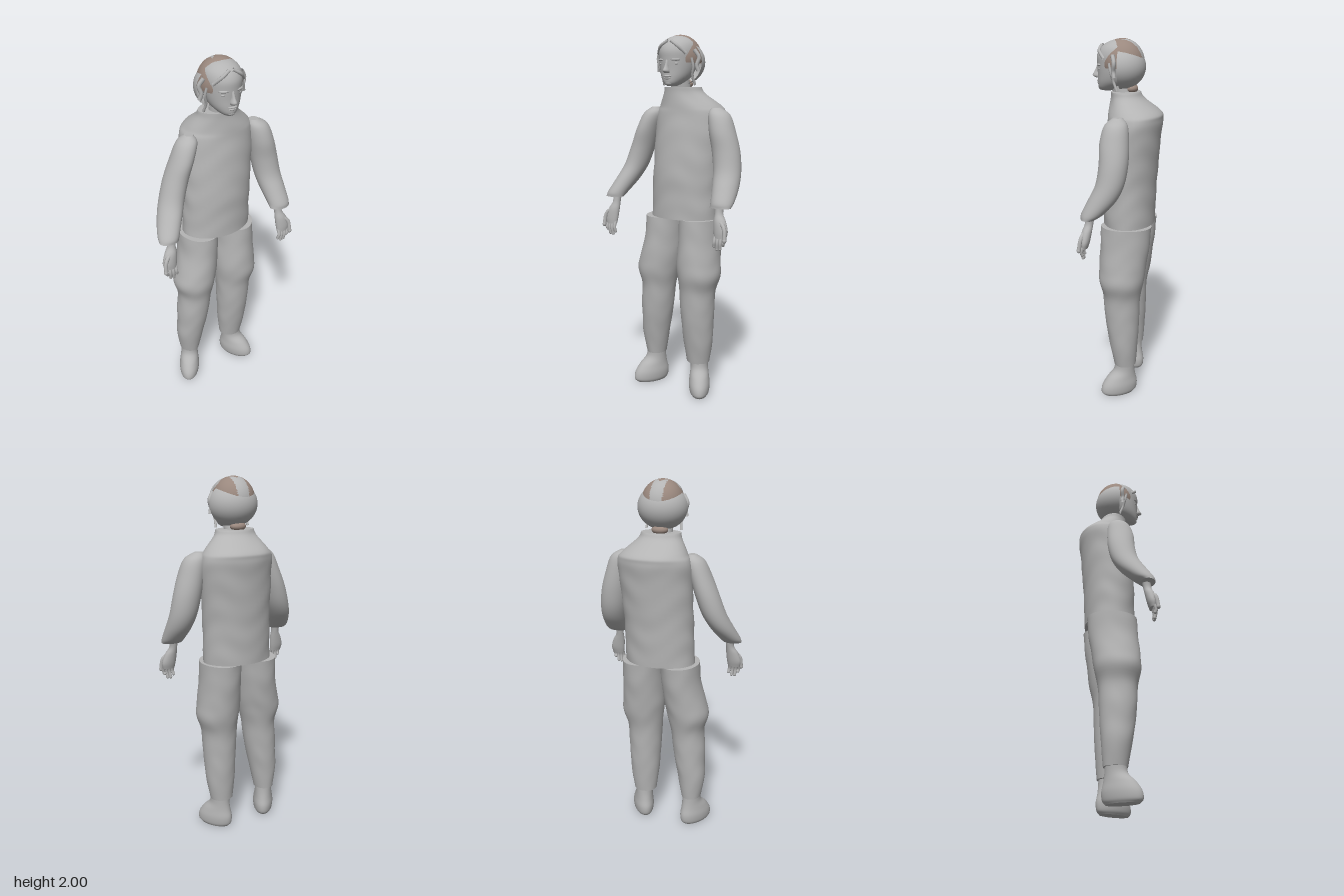
import * as THREE from 'three';

const mat = (name, color) => {
  const m = new THREE.MeshStandardMaterial({ color, side: THREE.DoubleSide });
  m.name = name;
  return m;
};

// Smooth body lofted through ellipses [y, cx, cz, rx, rz], listed from top to bottom
function loft(rows, ripple = 0, steps = 5, seg = 40) {
  const spline = (f) => new THREE.CatmullRomCurve3(rows.map(f), false, 'catmullrom', 0.5);
  const centre = spline((r) => new THREE.Vector3(r[1], r[0], r[2]));
  const radius = spline((r) => new THREE.Vector3(r[3], r[4], 0));
  const n = (rows.length - 1) * steps;
  const pos = [], idx = [];
  for (let i = 0; i <= n; i++) {
    const c = centre.getPoint(i / n), r = radius.getPoint(i / n);
    for (let j = 0; j < seg; j++) {
      const a = (j / seg) * Math.PI * 2;
      const k = 1 + ripple * Math.sin(c.y * 38 + 2 * Math.sin(a * 3)) * Math.sin(a * 2 + c.y * 9);
      pos.push(c.x + Math.cos(a) * r.x * k, c.y, c.z + Math.sin(a) * r.y * k);
      if (i === n) continue;
      const p = i * seg + j, q = i * seg + (j + 1) % seg;
      idx.push(p, q, p + seg, q, q + seg, p + seg);
    }
  }
  // Flat end caps with their own vertices, so the rims stay sharp
  for (const [row, top] of [[0, true], [n, false]]) {
    const c = centre.getPoint(row / n), base = pos.length / 3;
    pos.push(c.x, c.y, c.z);
    for (let j = 0; j < seg; j++) {
      const s = (row * seg + j) * 3;
      pos.push(pos[s], pos[s + 1], pos[s + 2]);
      const p = base + 1 + j, q = base + 1 + (j + 1) % seg;
      idx.push(base, top ? q : p, top ? p : q);
    }
  }
  const g = new THREE.BufferGeometry();
  g.setAttribute('position', new THREE.Float32BufferAttribute(pos, 3));
  g.setIndex(idx);
  g.computeVertexNormals();
  return g;
}

export function createModel() {
  const model = new THREE.Group();
  const grey = mat('plain grey', 0xb4b4b4), brown = mat('hair brown', 0x9a887e);
  const add = (name, geo, material = grey, parent = model) => {
    const m = new THREE.Mesh(geo, material);
    m.name = name;
    parent.add(m);
    return m;
  };
  const ball = (name, p, s, material = grey, parent = model) => {
    const m = add(name, new THREE.SphereGeometry(1, 24, 16), material, parent);
    m.position.set(...p);
    m.scale.set(...s);
    return m;
  };
  const tube = (name, pts, r, parent = model) => add(name, new THREE.TubeGeometry(
    new THREE.CatmullRomCurve3(pts.map((p) => new THREE.Vector3(...p))), 12, r, 8), grey, parent);

  // Jacket body
  add('jacket', loft([
    [1.73, 0.022, 0, 0.108, 0.077], [1.695, 0.026, -0.012, 0.122, 0.09],
    [1.63, 0.042, -0.053, 0.178, 0.138], [1.59, 0.042, -0.055, 0.2, 0.145],
    [1.5, 0.04, -0.045, 0.202, 0.146], [1.3, 0.03, -0.027, 0.196, 0.147],
    [1.15, 0.025, -0.022, 0.196, 0.143], [1.02, 0.022, -0.02, 0.198, 0.14]], 0.012, 8));
  add('neck', loft([[1.79, 0.02, 0.03, 0.05, 0.05], [1.7, 0.02, 0.01, 0.055, 0.055]]));

  // Sleeves
  add('rightSleeve', loft([
    [1.622, -0.15, 0.005, 0.022, 0.025], [1.585, -0.165, 0.01, 0.053, 0.06],
    [1.5, -0.198, 0.015, 0.06, 0.075], [1.4, -0.235, 0.015, 0.065, 0.075],
    [1.3, -0.27, 0.03, 0.066, 0.074], [1.22, -0.305, 0.067, 0.064, 0.074],
    [1.15, -0.338, 0.115, 0.058, 0.06], [1.12, -0.348, 0.138, 0.053, 0.04]]));
  add('leftSleeve', loft([
    [1.622, 0.235, 0.005, 0.026, 0.025], [1.585, 0.258, 0.01, 0.058, 0.06],
    [1.5, 0.28, 0.015, 0.07, 0.075], [1.4, 0.303, 0.015, 0.075, 0.075],
    [1.3, 0.32, 0.03, 0.074, 0.074], [1.22, 0.333, 0.067, 0.07, 0.074],
    [1.15, 0.343, 0.115, 0.063, 0.06], [1.12, 0.343, 0.138, 0.059, 0.04]]));

  // Hands
  for (const s of [-1, 1]) {
    const hand = new THREE.Group();
    hand.name = s < 0 ? 'rightHand' : 'leftHand';
    model.add(hand);
    add('palm', loft([
      [1.14, s * 0.335, 0.13, 0.025, 0.024], [1.09, s * 0.336, 0.138, 0.022, 0.022],
      [1.05, s * 0.347, 0.148, 0.034, 0.026], [1.0, s * 0.357, 0.155, 0.04, 0.024],
      [0.965, s * 0.357, 0.16, 0.034, 0.018]], 0, 4, 20), grey, hand);
    for (let i = 0; i < 4; i++) {
      const x = s * (0.329 + i * 0.018), end = [0.915, 0.9, 0.902, 0.925][i];
      tube('finger', [[x, 0.985, 0.158], [x, 0.945, 0.172], [x - s * 0.004, end + 0.008, 0.168]], 0.009, hand);
      ball('fingertip', [x - s * 0.004, end + 0.008, 0.168], [0.009, 0.009, 0.009], grey, hand);
    }
    tube('thumb', [[s * 0.345, 1.06, 0.155], [s * 0.385, 1.02, 0.172], [s * 0.394, 0.96, 0.182]], 0.011, hand);
    ball('thumbTip', [s * 0.394, 0.96, 0.182], [0.011, 0.014, 0.011], grey, hand);
  }

  // Trouser legs
  add('rightTrouserLeg', loft([
    [1.02, -0.093, -0.02, 0.108, 0.138], [0.9, -0.102, -0.012, 0.108, 0.135],
    [0.78, -0.122, 0, 0.118, 0.13], [0.7, -0.137, 0.005, 0.118, 0.124],
    [0.61, -0.135, 0.005, 0.096, 0.105], [0.5, -0.146, 0.005, 0.094, 0.098],
    [0.4, -0.155, 0, 0.086, 0.09], [0.3, -0.166, -0.005, 0.078, 0.078],
    [0.18, -0.168, -0.012, 0.056, 0.062]], 0.01));
  add('leftTrouserLeg', loft([
    [1.02, 0.128, -0.02, 0.11, 0.138], [0.9, 0.128, -0.012, 0.112, 0.135],
    [0.78, 0.13, 0, 0.12, 0.13], [0.7, 0.135, 0.005, 0.12, 0.124],
    [0.61, 0.126, 0.005, 0.102, 0.105], [0.5, 0.125, 0.005, 0.096, 0.098],
    [0.4, 0.125, 0, 0.09, 0.09], [0.3, 0.125, -0.005, 0.084, 0.078],
    [0.18, 0.122, -0.012, 0.066, 0.062]], 0.01));

  // Boots, toes turned outward
  for (const [name, x, yaw] of [['rightBoot', -0.17, -0.55], ['leftBoot', 0.132, 0.55]]) {
    const boot = add(name, loft([
      [0.21, 0, 0, 0.052, 0.055], [0.15, 0, 0.002, 0.05, 0.06], [0.105, 0, 0.02, 0.055, 0.085],
      [0.06, 0, 0.03, 0.06, 0.105], [0.02, 0, 0.035, 0.056, 0.106], [0, 0, 0.035, 0.046, 0.09]]));
    boot.position.set(x, 0, -0.01);
    boot.rotation.y = yaw;
  }

  // Head and face
  const head = new THREE.Group();
  head.name = 'head';
  model.add(head);
  add('skull', loft([
    [1.996, 0.02, 0.03, 0.015, 0.015], [1.983, 0.02, 0.03, 0.055, 0.06], [1.955, 0.02, 0.03, 0.088, 0.1],
    [1.915, 0.02, 0.03, 0.101, 0.121], [1.87, 0.02, 0.035, 0.098, 0.116], [1.82, 0.02, 0.045, 0.089, 0.103],
    [1.78, 0.02, 0.06, 0.073, 0.088], [1.75, 0.02, 0.085, 0.047, 0.06], [1.735, 0.02, 0.1, 0.024, 0.032]]),
  grey, head);
  add('nose', loft([
    [1.87, 0.02, 0.143, 0.008, 0.008], [1.835, 0.02, 0.148, 0.01, 0.017],
    [1.812, 0.02, 0.15, 0.017, 0.028], [1.8, 0.02, 0.146, 0.014, 0.016]], 0, 4, 16), grey, head);
  ball('upperLip', [0.02, 1.784, 0.144], [0.026, 0.006, 0.011], grey, head);
  ball('lowerLip', [0.02, 1.773, 0.141], [0.022, 0.006, 0.011], grey, head);
  ball('chin', [0.02, 1.75, 0.128], [0.024, 0.015, 0.018], grey, head);
  for (const s of [-1, 1]) {
    ball('eye', [0.02 + s * 0.04, 1.848, 0.128], [0.017, 0.008, 0.011], grey, head);
    const brow = ball('brow', [0.02 + s * 0.042, 1.868, 0.133], [0.026, 0.007, 0.012], grey, head);
    brow.rotation.y = s * 0.4;
  }

  // Hair cap: brown, with a grey parting at the back and a grey fringe
  const cap = new THREE.SphereGeometry(1, 64, 32, 0, Math.PI * 2, 0, 1.8);
  cap.scale(0.114, 0.12, 0.116).translate(0.02, 1.88, 0.018);
  const p = cap.attributes.position, all = cap.index.array, faces = [[], []];
  for (let i = 0; i < all.length; i += 3) {
    const f = [all[i], all[i + 1], all[i + 2]];
    const x = f.reduce((t, k) => t + p.getX(k) / 3, 0) - 0.02;
    const z = f.reduce((t, k) => t + p.getZ(k) / 3, 0);
    const parting = Math.abs(x) < 0.035 && z < -0.03 - Math.abs(x) * -1.4;
    faces[parting || z > 0.11 - Math.abs(x) * 0.15 ? 1 : 0].push(...f);
  }
  cap.setIndex([...faces[0], ...faces[1]]);
  cap.addGroup(0, faces[0].length, 0);
  cap.addGroup(faces[0].length, faces[1].length, 1);
  add('hairCap', cap, [brown, grey], head);

  // Half dome of hair round the back of the head
  const dome = add('backHair', new THREE.SphereGeometry(1, 32, 32, Math.PI, Math.PI), grey, head);
  dome.rotation.y = Math.PI;
  dome.geometry.rotateY(dome.geometry.attributes.position.getZ(40) > 0 ? 0 : Math.PI);
  dome.scale.set(0.135, 0.118, 0.13);
  dome.position.set(0.022, 1.857, 0.025);
  ball('napeHair', [0.02, 1.745, -0.03], [0.045, 0.025, 0.035], brown, head);

  // Loose locks beside the face
  for (const s of [-1, 1]) {
    const x = (d) => 0.021 + s * d;
    tube('sideLock', [[x(0.105), 1.92, 0.05], [x(0.128), 1.88, 0.04], [x(0.118), 1.84, 0.045], [x(0.125), 1.81, 0.04]], 0.011, head);
    tube('innerLock', [[x(0.1), 1.88, 0.07], [x(0.106), 1.83, 0.06], [x(0.094), 1.79, 0.05], [x(0.098), 1.74, 0.03]], 0.007, head);
    tube('fringe', [[x(0.01), 1.965, 0.125], [x(0.05), 1.94, 0.13], [x(0.085), 1.9, 0.1]], 0.009, head);
  }
  return model;
}
